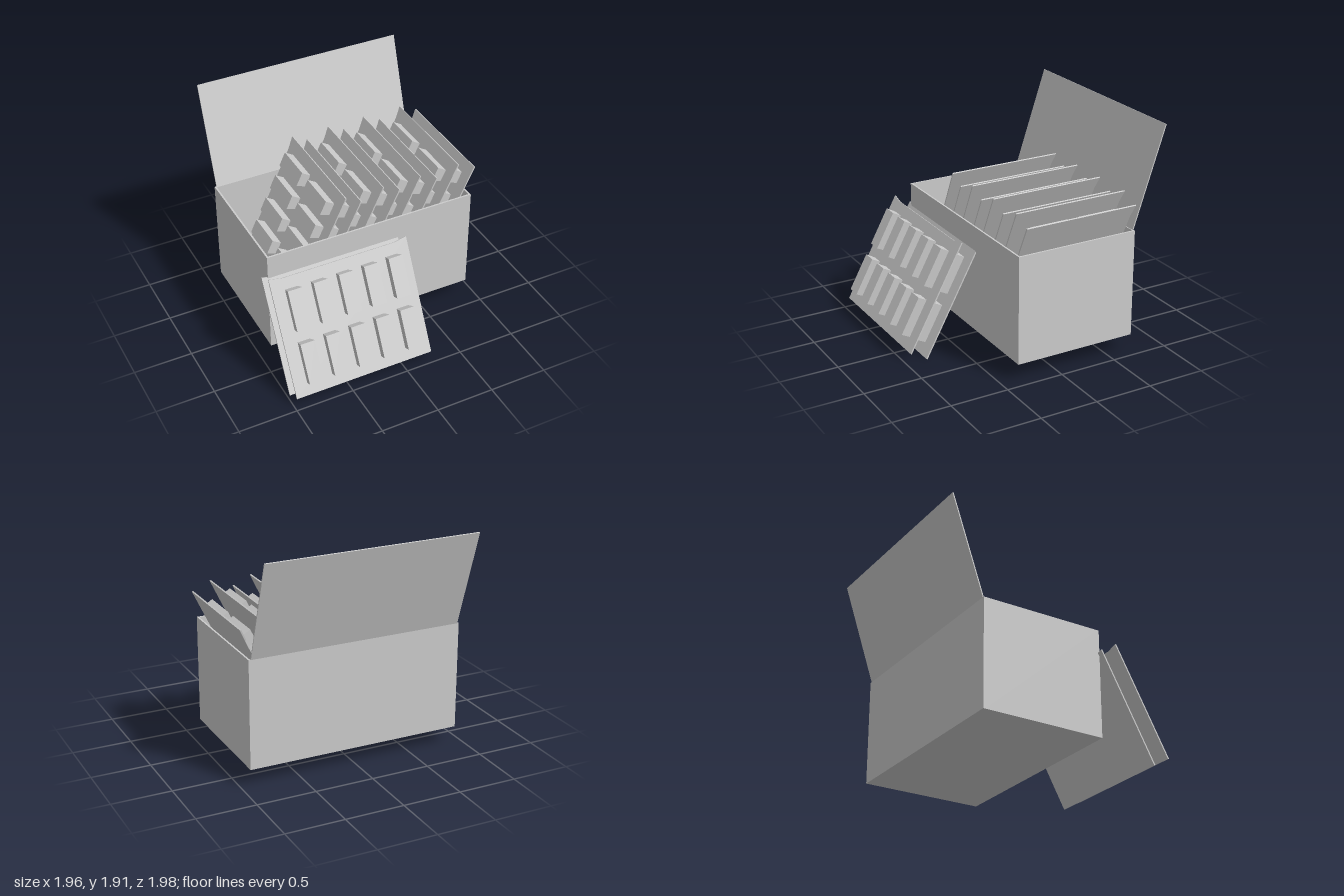
import * as THREE from 'three';

const material = new THREE.MeshStandardMaterial({ color: 0xcccccc, flatShading: true, side: THREE.DoubleSide });

const SHEET_W = 1.22, SHEET_H = 0.995, SHEET_T = 0.012;

function addMesh(parent, name, geometry, x = 0, y = 0, z = 0) {
  const mesh = new THREE.Mesh(geometry, material);
  mesh.name = name;
  mesh.position.set(x, y, z);
  parent.add(mesh);
  return mesh;
}

// Backing card with two slightly raised corners; top edge at y = 0, pockets face +z
function cardGeometry() {
  const w = SHEET_W / 2;
  const shape = new THREE.Shape([
    [-w, 0], [-w, -SHEET_H], [w, -SHEET_H], [w, 0], [w - 0.11, -0.02], [-w + 0.11, -0.02],
  ].map(([x, y]) => new THREE.Vector2(x, y)));
  return new THREE.ExtrudeGeometry(shape, { depth: SHEET_T, bevelEnabled: false })
    .translate(0, 0, -SHEET_T / 2);
}

// Pocket block, a little narrower where it meets the card
function pocketGeometry() {
  const geometry = new THREE.BoxGeometry(0.125, 0.335, 0.09);
  const p = geometry.attributes.position;
  for (let i = 0; i < p.count; i++) {
    if (p.getZ(i) < 0) p.setX(i, p.getX(i) * 0.84);
  }
  geometry.computeVertexNormals();
  return geometry;
}

const card = cardGeometry();
const pocket = pocketGeometry();

// Pack sheet with two rows of five pockets
function makeSheet(name) {
  const sheet = new THREE.Group();
  sheet.name = name;
  addMesh(sheet, 'card', card);
  for (const y of [-0.2825, -0.7225]) {
    for (let i = 0; i < 5; i++) addMesh(sheet, 'pocket', pocket, (i - 2) * 0.222, y, 0.047);
  }
  return sheet;
}

export function createModel() {
  const model = new THREE.Group();
  model.name = 'openCartonWithSheets';

  // Open carton
  const x0 = -0.93, x1 = 0.925, y0 = 0.15, y1 = 1.07, z0 = -0.71, z1 = 0.36, t = 0.015;
  const cx = (x0 + x1) / 2, cy = (y0 + y1) / 2, cz = (z0 + z1) / 2;
  const w = x1 - x0, h = y1 - y0, d = z1 - z0;
  const carton = new THREE.Group();
  carton.name = 'carton';
  model.add(carton);
  addMesh(carton, 'floor', new THREE.BoxGeometry(w, t, d), cx, y0 + t / 2, cz);
  for (const [name, z] of [['frontWall', z1 - t / 2], ['backWall', z0 + t / 2]]) {
    addMesh(carton, name, new THREE.BoxGeometry(w, h, t), cx, cy, z);
  }
  for (const [name, x] of [['leftWall', x1 - t / 2], ['rightWall', x0 + t / 2]]) {
    addMesh(carton, name, new THREE.BoxGeometry(t, h, d - 2 * t), x, cy, cz);
  }

  // Lid flap hinged on the back wall
  const lidLength = Math.hypot(0.84, 0.28);
  const lid = addMesh(carton, 'lid',
    new THREE.BoxGeometry(1.82, lidLength, 0.01).translate(0, lidLength / 2, 0), -0.005, y1, z0 + 0.005);
  lid.rotation.x = -Math.atan2(0.28, 0.84);

  // Sheets standing in the carton, leaning to its left, alternating in height
  const tilt = THREE.MathUtils.degToRad(25.5);
  const up = new THREE.Vector3(Math.sin(tilt), Math.cos(tilt), 0);
  const out = new THREE.Vector3(-Math.cos(tilt), Math.sin(tilt), 0);
  const turn = new THREE.Matrix4().makeBasis(up, new THREE.Vector3(0, 0, -1), out);
  const topEdges = [-0.215, -0.08, 0.12, 0.268, 0.457, 0.614, 0.813, 0.97];
  topEdges.forEach((x, i) => {
    const sheet = makeSheet('storedSheet');
    sheet.quaternion.setFromRotationMatrix(turn);
    sheet.position.set(x, i % 2 ? 1.31 : 1.38, -0.675).addScaledVector(up, -SHEET_W / 2);
    model.add(sheet);
  });

  // Two sheets leaning against the front of the carton
  for (const [y, z] of [[0.962, 0.485], [0.88, 0.345]]) {
    const sheet = makeSheet('leaningSheet');
    sheet.position.set(-0.37, y, z);
    sheet.rotation.x = -THREE.MathUtils.degToRad(28.5);
    model.add(sheet);
  }

  return model;
}
